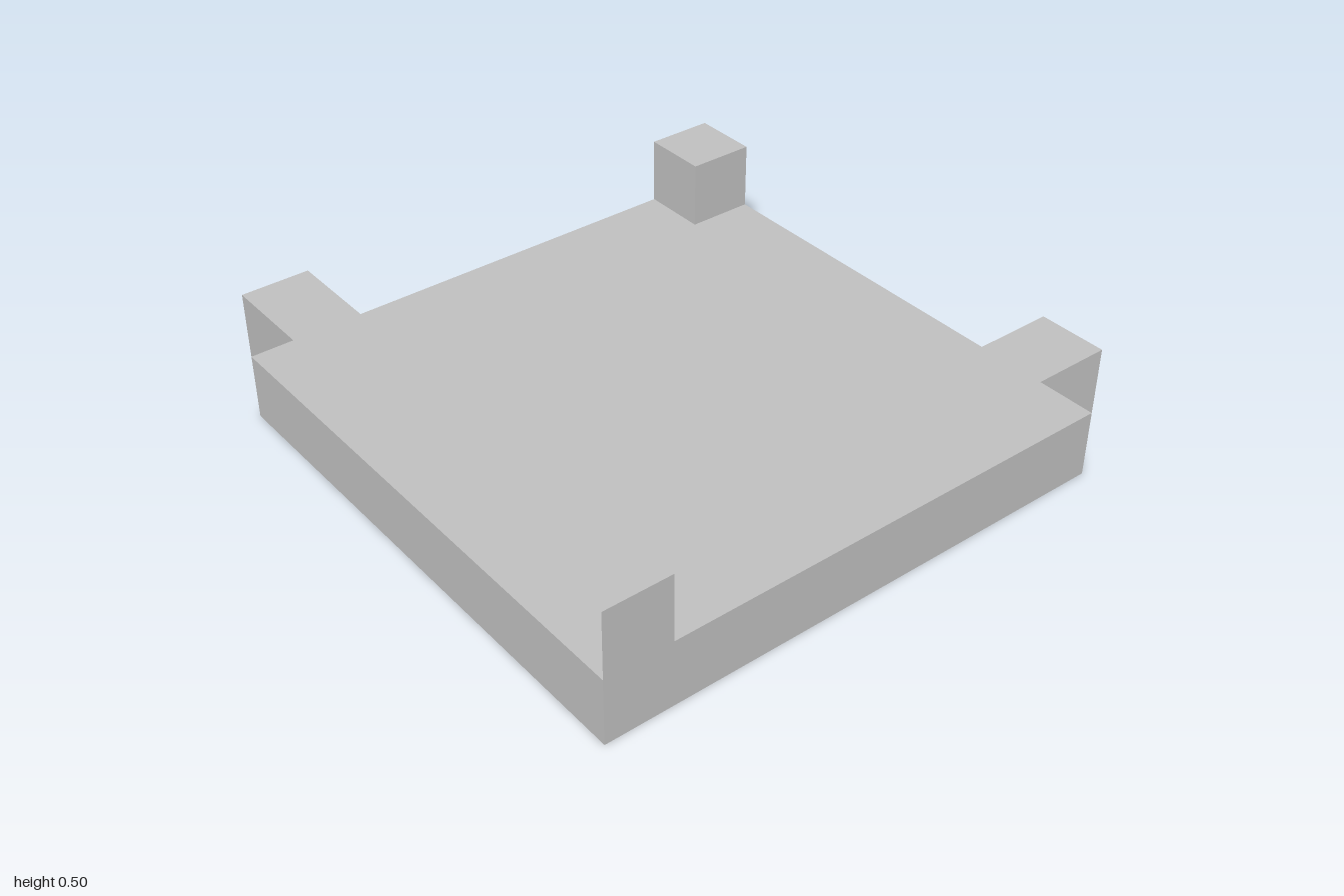
import * as THREE from 'three';

// Open-sided tray built from single-sheet panels.
const grey = new THREE.MeshStandardMaterial({ color: 0xc0c0c0, side: THREE.DoubleSide });
grey.name = 'plain grey';

const H = 0.5, MID = 0.25, IN = 0.75;

// Flat panel across the given x, y and z ranges; the range given as one number is the normal axis.
function panel(name, x, y, z) {
  const size = (r) => r[1] - r[0];
  const mid = (r) => (Array.isArray(r) ? (r[0] + r[1]) / 2 : r);
  let geometry;
  if (!Array.isArray(x)) geometry = new THREE.PlaneGeometry(size(z), size(y)).rotateY(x < 0 ? -Math.PI / 2 : Math.PI / 2);
  else if (!Array.isArray(y)) geometry = new THREE.PlaneGeometry(size(x), size(z)).rotateX(-Math.PI / 2);
  else geometry = new THREE.PlaneGeometry(size(x), size(y)).rotateY(z < 0 ? Math.PI : 0);
  const mesh = new THREE.Mesh(geometry, grey);
  mesh.name = name;
  mesh.position.set(mid(x), mid(y), mid(z));
  return mesh;
}

function part(name, ...panels) {
  const group = new THREE.Group();
  group.name = name;
  group.add(...panels);
  return group;
}

export function createModel() {
  const model = new THREE.Group();
  model.name = 'tray';
  const full = [-1, 1], low = [0, MID], high = [MID, H];

  // Base: floor and four skirts, open underneath
  const base = part('base', panel('floor', full, MID, full));
  for (const s of [-1, 1]) {
    base.add(panel(s > 0 ? 'frontSkirt' : 'backSkirt', full, low, s));
    base.add(panel(s > 0 ? 'leftSkirt' : 'rightSkirt', s, low, full));
  }

  // Side wall: hollow, open on its outer side
  const sideWall = part('sideWall',
    panel('sideWallTop', [-1, -IN], H, full),
    panel('sideWallInner', -IN, high, full),
    panel('sideWallFrontEnd', [-1, -IN], high, 1),
    panel('sideWallBackEnd', [-1, -IN], high, -1));

  // Front wall: hollow, open on its outer side
  const frontWall = part('frontWall',
    panel('frontWallTop', [-IN, 1], H, [IN, 1]),
    panel('frontWallInner', [-IN, 1], high, IN),
    panel('frontWallEnd', 1, high, [IN, 1]));

  // Corner post: hollow, open at the back
  const cornerPost = part('cornerPost',
    panel('postTop', [IN, 1], H, [-1, -IN]),
    panel('postFront', [IN, 1], high, -IN),
    panel('postInner', IN, high, [-1, -IN]),
    panel('postOuter', 1, high, [-1, -IN]));

  model.add(base, sideWall, frontWall, cornerPost);
  return model;
}
